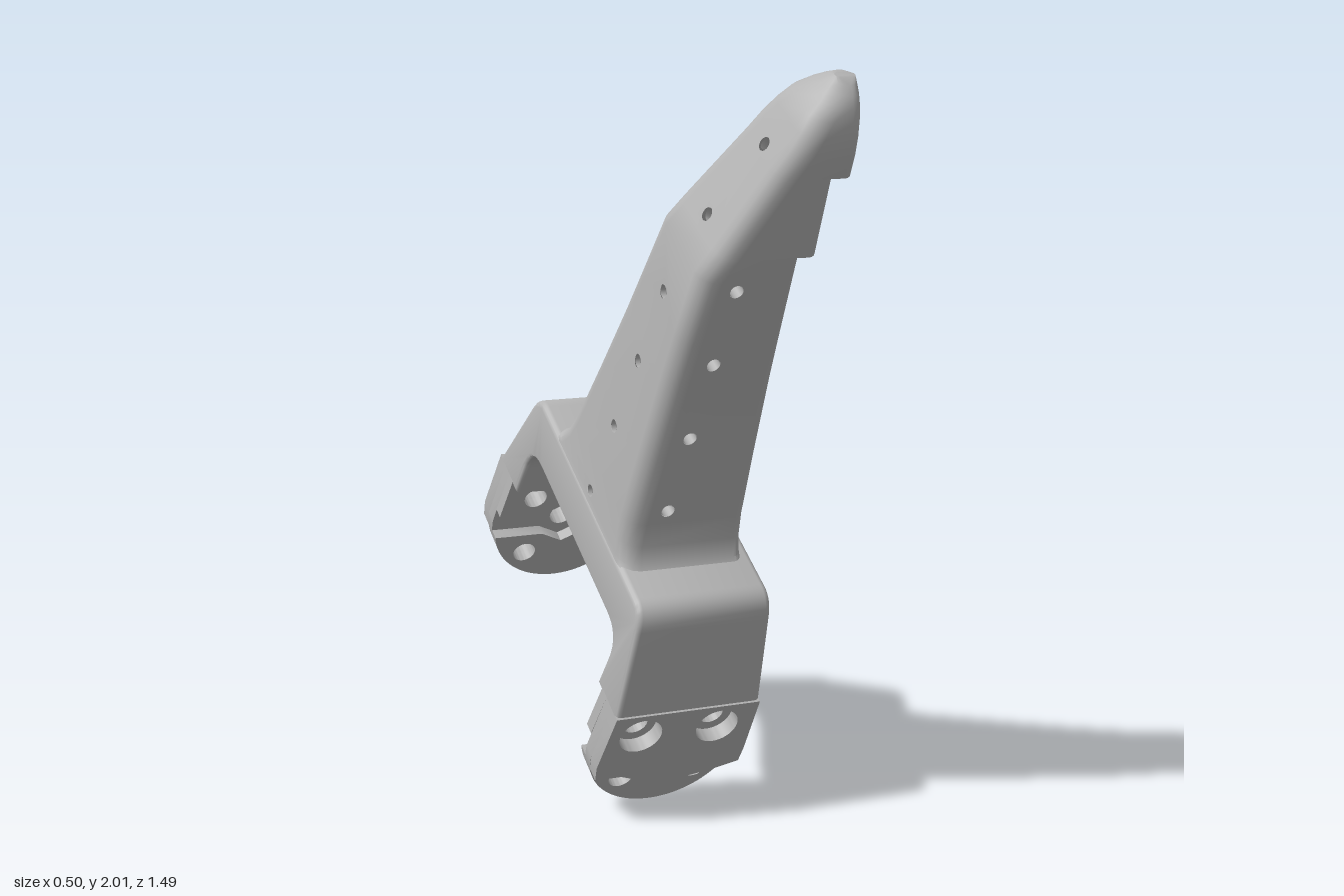
import * as THREE from 'three';
import { mergeGeometries, toCreasedNormals } from 'three/addons/utils/BufferGeometryUtils.js';

const grey = new THREE.MeshStandardMaterial({ color: 0xb4b4b4, side: THREE.DoubleSide });
grey.name = 'plain grey';
const V = (x, y, z) => new THREE.Vector3(x, y, z);

function add(parent, name, geometry) {
  const mesh = new THREE.Mesh(geometry, grey);
  mesh.name = name;
  parent.add(mesh);
  return mesh;
}

// ---------- Leg: rounded-rectangle sections stacked along y ----------
const ARC = 5; // points per rounded corner
const FACE = { back: ARC - 1, right: 2 * ARC - 1, front: 3 * ARC - 1, left: 4 * ARC - 1 };

// inner (-x) face: gentle slope, then a bend towards the rounded tip
function slopeX(y) {
  if (y < 1.58) return -0.19 + (y - 0.75) * 0.108;
  return -0.1 + (y - 1.58) * 0.52 + Math.max(0, y - 2) * 0.5;
}

function section(y, h, xR) {
  const xL = slopeX(y), rL = Math.min(0.055, h), rR = Math.min(0.025, h);
  const corners = [[xR - rR, -h + rR, rR], [xL + rL, -h + rL, rL], [xL + rL, h - rL, rL], [xR - rR, h - rR, rR]];
  return corners.flatMap(([x, z, r], k) => Array.from({ length: ARC }, (_, i) => {
    const a = (k + i / (ARC - 1)) * Math.PI / 2;
    return V(x + r * Math.cos(a), y, z - r * Math.sin(a));
  }));
}

const tipWidth = y => 0.125 * Math.sqrt(Math.max(0, 1 - ((y - 1.86) / 0.215) ** 2));
const legSections = [
  [0.745, 0.3, 0.155], [0.757, 0.28, 0.155], [0.8, 0.253, 0.155], [0.86, 0.236, 0.155], [1.06, 0.208, 0.155],
  [1.28, 0.181, 0.155], [1.4, 0.17, 0.155], [1.58, 0.155, 0.155], [1.645, 0.15, 0.155],
  [1.645, 0.15, 0.2], [1.86, 0.125, 0.2], [1.86, 0.125, 0.25],
  ...[1.915, 1.96, 2, 2.03, 2.05, 2.066, 2.0745].map(y => [y, tipWidth(y), 0.25])
];

// hole positions: [face, height, x or z on that face]
const HOLE = 0.018;
const crossHeights = [0.7785, 1.005, 1.224, 1.446];
const frontHoles = [[0.9, -0.07], [1.12, -0.045], [1.34, -0.02], [1.555, 0]];
const slopeHoles = [[1.68, 1.602, 0.155], [1.882, 1.753, 0.2]];
const holes = [
  ...crossHeights.flatMap(y => [['left', y, 0], ['right', y, 0]]),
  ...frontHoles.flatMap(([y, x]) => [['front', y, x], ['back', y, x]]),
  ...slopeHoles.flatMap(([yIn, yOut]) => [['right', yIn, 0], ['left', yOut, 0]])
];

// one four-sided patch with round holes
function patch(a, b, c, d, list, along) {
  const s = new THREE.Shape([[0, 0], [1, 0], [1, 1], [0, 1]].map(p => new THREE.Vector2(...p)));
  for (const [, y, p] of list) {
    const t = (y - a.y) / (d.y - a.y);
    const m = a.clone().lerp(d, t), n = b.clone().lerp(c, t);
    const u = (p - m[along]) / (n[along] - m[along]);
    const path = new THREE.Path();
    path.absellipse(u, t, HOLE / m.distanceTo(n), HOLE / a.distanceTo(d), 0, Math.PI * 2, true);
    s.holes.push(path);
  }
  const g = new THREE.ShapeGeometry(s, 8), pos = g.attributes.position;
  for (let i = 0; i < pos.count; i++) {
    const u = pos.getX(i), t = pos.getY(i);
    const p = a.clone().lerp(b, u).lerp(d.clone().lerp(c, u), t);
    pos.setXYZ(i, p.x, p.y, p.z);
  }
  const out = g.toNonIndexed();
  out.deleteAttribute('uv');
  out.deleteAttribute('normal');
  return out;
}

function legGeometry() {
  const rings = legSections.map(s => section(...s)), n = rings[0].length;
  const tris = [], parts = [];
  for (let i = 0; i < rings.length - 1; i++) {
    for (let j = 0; j < n; j++) {
      const k = (j + 1) % n;
      const a = rings[i][j], b = rings[i][k], c = rings[i + 1][k], d = rings[i + 1][j];
      const list = holes.filter(([f, y]) => FACE[f] === j && y > a.y && y < d.y);
      if (list.length) parts.push(patch(a, b, c, d, list, j === FACE.front || j === FACE.back ? 'x' : 'z'));
      else tris.push(a, b, c, a, c, d);
    }
  }
  // close the tip
  const top = rings[rings.length - 1];
  for (let j = 1; j < n - 1; j++) tris.push(top[0], top[j], top[j + 1]);
  parts.push(new THREE.BufferGeometry().setFromPoints(tris));
  return toCreasedNormals(mergeGeometries(parts), 0.6);
}

// lining of a drilled hole between two points
function bore(parent, a, b) {
  const g = new THREE.CylinderGeometry(HOLE, HOLE, a.distanceTo(b), 16, 1, true);
  const m = add(parent, 'holeLining', g);
  m.position.copy(a).lerp(b, 0.5);
  m.quaternion.setFromUnitVectors(V(0, 1, 0), b.clone().sub(a).normalize());
}

// half width of the leg at a given height
function legWidth(y) {
  const i = legSections.findIndex(s => s[0] > y), [y0, h0] = legSections[i - 1], [y1, h1] = legSections[i];
  return h0 + (h1 - h0) * (y - y0) / (y1 - y0);
}

// ---------- Bracket: U-shaped frame ----------
function frameGeometry() {
  const s = new THREE.Shape();
  s.moveTo(0.375, 0.435);
  s.lineTo(0.528, 0.435);
  s.lineTo(0.456, 0.69);
  s.quadraticCurveTo(0.44, 0.75, 0.385, 0.75);
  s.lineTo(-0.385, 0.75);
  s.quadraticCurveTo(-0.44, 0.75, -0.456, 0.69);
  s.lineTo(-0.528, 0.435);
  s.lineTo(-0.375, 0.435);
  s.lineTo(-0.375, 0.53);
  s.quadraticCurveTo(-0.375, 0.605, -0.29, 0.605);
  s.lineTo(0.29, 0.605);
  s.quadraticCurveTo(0.375, 0.605, 0.375, 0.53);
  const g = new THREE.ExtrudeGeometry(s, {
    depth: 0.355, bevelThickness: 0.015, bevelSize: 0.015, bevelOffset: -0.015, bevelSegments: 3, curveSegments: 8
  });
  g.translate(0, 0, -0.185).rotateY(Math.PI / 2);
  const p = g.attributes.position;
  for (let i = 0; i < p.count; i++) {
    let x = p.getX(i), y = p.getY(i);
    // underside rises towards +x, the -x side flares towards the feet
    if (Math.abs(p.getZ(i)) < 0.4 && y < 0.68 && y > 0.5) {
      y += 0.055 * (x + 0.2) / 0.385 * Math.min(1, (y - 0.5) / 0.1);
    }
    if (x < -0.1) x += 0.01 - (0.75 - y) * 0.127;
    p.setXY(i, x, y);
  }
  g.deleteAttribute('normal');
  return toCreasedNormals(g, 0.6);
}

// ---------- Feet: stacked plates with drilled holes ----------
const CX = -0.035, CY = 0.265, R = 0.215;
const shapeOf = pts => new THREE.Shape(pts.map(p => new THREE.Vector2(...p)));

function footPlate(kind, centreHole) {
  let s;
  if (kind === 'outer') { // cover with a pointed lower edge
    s = shapeOf([[0.184, 0.45], [-0.228, 0.45], [-0.25, 0.265], [-0.245, 0.215], [-0.17, 0.215], [-0.1, 0.185],
      [-0.045, 0.12], [-0.015, 0.112], [0.025, 0.18], [0.09, 0.19], [0.175, 0.215], [0.18, 0.265]]);
  } else if (kind === 'pocket') { // open slot and hexagonal recess
    s = shapeOf([[0.184, 0.45], [-0.228, 0.45], [-0.246, 0.31], [-0.1, 0.31], [-0.035, 0.345], [0.03, 0.31],
      [0.03, 0.225], [-0.035, 0.19], [-0.1, 0.225]]);
    s.absarc(CX, CY, R, Math.PI + 0.187, Math.PI * 2, false);
  } else {
    s = shapeOf([[0.184, 0.45], [-0.228, 0.45]]);
    s.absarc(CX, CY, R, Math.PI, Math.PI * 2, false);
  }
  const drill = (x, y, r) => s.holes.push(new THREE.Path().absarc(x, y, r, 0, Math.PI * 2, true));
  for (const x of [CX - 0.11, CX + 0.11]) {
    drill(x, 0.373, kind === 'outer' ? 0.06 : 0.034);
    if (kind !== 'outer') drill(x, 0.155, 0.034);
  }
  if (centreHole && kind !== 'pocket') drill(CX, CY, 0.036);
  return s;
}

function addFoot(parent, name, side) {
  const foot = new THREE.Group();
  foot.name = name;
  for (const [kind, z0, z1] of [['pocket', 0.41, 0.445], ['middle', 0.445, 0.485], ['outer', 0.485, 0.53]]) {
    const g = new THREE.ExtrudeGeometry(footPlate(kind, side < 0), { depth: z1 - z0, bevelEnabled: false, curveSegments: 24 });
    g.translate(0, 0, side > 0 ? z0 : -z1);
    g.deleteAttribute('normal');
    add(foot, kind + 'Plate', toCreasedNormals(g, 0.6));
  }
  parent.add(foot);
}

export function createModel() {
  const model = new THREE.Group();
  model.name = 'legBracket';
  const body = new THREE.Group();
  body.name = 'tiltedBody';
  body.rotation.x = Math.PI / 6;
  body.position.set(0, 0.1975, -0.342);
  model.add(body);

  add(body, 'leg', legGeometry());
  for (const y of crossHeights) bore(body, V(slopeX(y), y, 0), V(0.155, y, 0));
  for (const [y, x] of frontHoles) bore(body, V(x, y, -legWidth(y)), V(x, y, legWidth(y)));
  for (const [yIn, yOut, x] of slopeHoles) bore(body, V(slopeX(yIn) + 0.008, yIn, 0), V(x - 0.008, yOut, 0));

  add(body, 'frame', frameGeometry());
  addFoot(body, 'frontFoot', 1);
  addFoot(body, 'backFoot', -1);
  return model;
}
